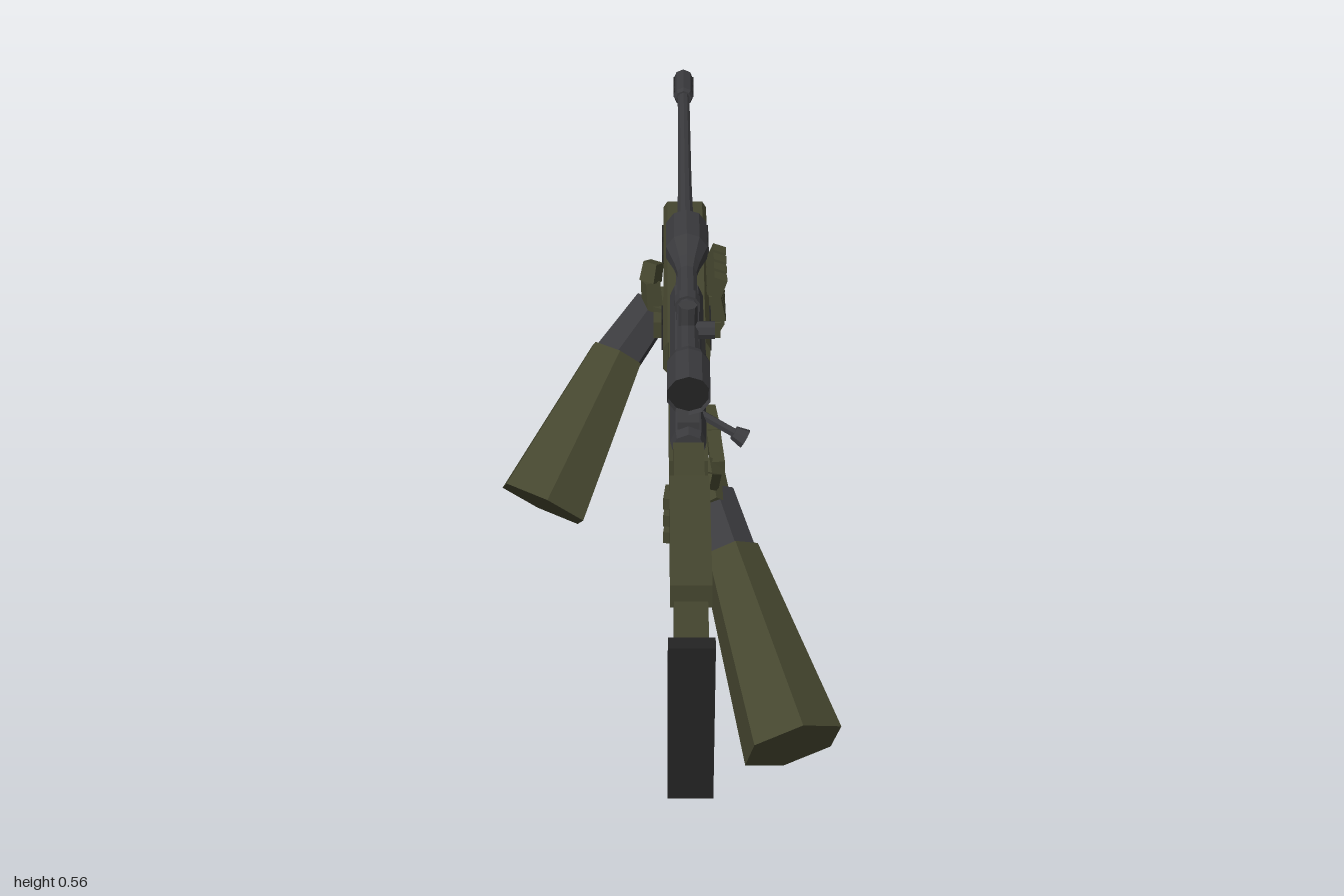
import * as THREE from 'three';

const CX = 0.06; // the rifle's axis lies right of the middle plane
const V = (x, y, z) => new THREE.Vector3(x, y, z);

export function createModel() {
  const root = new THREE.Group();
  root.name = 'rifleHeldByArms';
  const mat = (name, color) => {
    const m = new THREE.MeshStandardMaterial({ color, flatShading: true });
    m.name = name;
    return m;
  };
  const olive = mat('olive', 0x45462f);
  const grey = mat('gunGrey', 0x3b3b3e);
  const black = mat('black', 0x232323);

  const add = (name, geo, m) => {
    const mesh = new THREE.Mesh(geo, m);
    mesh.name = name;
    root.add(mesh);
    return mesh;
  };
  // Box given by its limits
  const box = (name, m, x0, x1, y0, y1, z0, z1) => {
    const b = add(name, new THREE.BoxGeometry(x1 - x0, y1 - y0, z1 - z0), m);
    b.position.set((x0 + x1) / 2, (y0 + y1) / 2, (z0 + z1) / 2);
    return b;
  };
  // Side profile of [z, y] points, extruded across x
  const profile = (name, m, pts, width) => {
    const shape = new THREE.Shape(pts.map(p => new THREE.Vector2(p[0], p[1])));
    const g = new THREE.ExtrudeGeometry(shape, { depth: width, bevelEnabled: false });
    g.translate(0, 0, -width / 2).rotateY(-Math.PI / 2).translate(CX, 0, 0);
    return add(name, g, m);
  };
  // Turned part along z from [radius, z] points running forwards (towards -z)
  const turned = (name, m, y, pts, sides = 12) => {
    const g = new THREE.LatheGeometry(pts.map(p => new THREE.Vector2(p[0], -p[1])), sides);
    g.rotateX(-Math.PI / 2).translate(CX, y, 0);
    return add(name, g, m);
  };
  // Tapered prism from a to b, with level width axis; w and h are half sizes at b
  const limb = (name, m, a, b, w, h, taper, sides = 6, start = 0) => {
    const d = b.clone().sub(a);
    const g = new THREE.CylinderGeometry(1, taper, d.length(), sides, 1, false, start);
    g.scale(w, 1, h);
    d.normalize();
    const up = Math.abs(d.y) > 0.99 ? V(0, 0, 1) : V(0, 1, 0);
    const side = up.cross(d).normalize();
    g.applyMatrix4(new THREE.Matrix4().makeBasis(side, d, side.clone().cross(d)));
    const c = a.clone().add(b).multiplyScalar(0.5);
    return add(name, g.translate(c.x, c.y, c.z), m);
  };
  // Chain of square finger segments
  const finger = (name, pts, r) => {
    for (let i = 1; i < pts.length; i++)
      limb(name, olive, pts[i - 1], pts[i], r, r, 1.1, 4, Math.PI / 4);
  };

  // Stock
  profile('stock', olive, [[0.98, 0.195], [0.98, 0.46], [0.44, 0.44], [0.44, 0.35],
    [0.59, 0.345], [0.92, 0.2]].reverse(), 0.05);
  box('cheekRest', olive, 0.029, 0.091, 0.445, 0.485, 0.6, 0.88);
  box('buttPad', black, 0.026, 0.094, 0.182, 0.466, 0.976, 1);

  // Chassis and receiver
  profile('chassis', olive, [[0.45, 0.35], [0.3, 0.35], [0.06, 0.345], [0.06, 0.41],
    [0.45, 0.41]], 0.064);
  turned('receiver', grey, 0.428, [[0, 0.44], [0.027, 0.44], [0.03, 0.42], [0.03, -0.055], [0, -0.055]], 8);
  box('topRail', grey, 0.042, 0.078, 0.452, 0.465, -0.05, 0.42);
  for (const z of [0.07, 0.19])
    box('ejectionPort', black, 0.085, 0.092, 0.418, 0.442, z, z + 0.1);
  limb('boltHandle', grey, V(0.08, 0.437, 0.35), V(0.145, 0.403, 0.365), 0.008, 0.008, 1, 6);
  limb('boltKnob', grey, V(0.136, 0.408, 0.363), V(0.155, 0.398, 0.367), 0.017, 0.017, 0.7, 8);

  // Handguard with chamfered edges
  const section = new THREE.Shape([[-0.03, 0.335], [0.03, 0.335], [0.042, 0.35], [0.042, 0.392],
    [0.034, 0.405], [-0.034, 0.405], [-0.042, 0.392], [-0.042, 0.35]].map(p => new THREE.Vector2(...p)));
  const guard = new THREE.ExtrudeGeometry(section, { depth: 0.535, bevelEnabled: false });
  add('handguard', guard.translate(CX, 0, -0.465), olive);
  for (const z of [0.01, -0.06, -0.3, -0.37])
    for (const s of [-1, 1]) {
      const x = CX + s * 0.042;
      box('handguardSlot', black, x - 0.003, x + 0.003, 0.367, 0.39, z - 0.025, z + 0.025);
    }
  box('lowerRail', olive, 0.04, 0.08, 0.325, 0.34, -0.44, -0.08);

  // Barrel and muzzle brake
  turned('barrel', grey, 0.428, [[0.021, -0.05], [0.018, -0.2], [0.014, -0.5], [0.013, -0.9]], 10);
  turned('muzzleBrake', grey, 0.428, [[0, -0.89], [0.017, -0.89], [0.021, -0.9], [0.021, -0.99],
    [0.017, -1], [0.008, -1], [0.008, -0.98], [0, -0.98]], 8);
  for (const z of [-0.92, -0.95, -0.975])
    box('muzzleVent', black, CX - 0.0215, CX + 0.0215, 0.421, 0.435, z - 0.009, z + 0.009);

  // Scope
  turned('scope', grey, 0.515, [[0, 0.405], [0.033, 0.405], [0.037, 0.418], [0.037, 0.33], [0.033, 0.315],
    [0.019, 0.305], [0.018, 0.02], [0.024, -0.01], [0.036, -0.05], [0.039, -0.06],
    [0.039, -0.15], [0.033, -0.15], [0.033, -0.14], [0, -0.14]], 10);
  turned('eyepieceLens', black, 0.515, [[0, 0.41], [0.034, 0.41], [0.034, 0.404]], 10);
  turned('objectiveLens', black, 0.515, [[0.032, -0.139], [0.032, -0.143], [0, -0.143]], 10);
  limb('topTurret', grey, V(CX, 0.52, 0.21), V(CX, 0.564, 0.21), 0.016, 0.016, 1, 8);
  limb('sideTurret', grey, V(CX, 0.515, 0.21), V(0.106, 0.515, 0.21), 0.016, 0.016, 1, 8);
  for (const z of [0.34, 0.122]) {
    box('scopeMount', grey, 0.045, 0.075, 0.46, 0.505, z - 0.016, z + 0.016);
    turned('scopeRing', grey, 0.515, [[0.018, z + 0.013], [0.023, z + 0.013], [0.023, z - 0.013], [0.018, z - 0.013]], 10);
  }

  // Magazine, trigger guard and grip
  box('magazine', grey, 0.034, 0.086, 0.245, 0.36, 0.175, 0.29);
  box('magazineBase', black, 0.031, 0.089, 0.243, 0.255, 0.172, 0.292);
  profile('triggerHousing', grey, [[0.385, 0.35], [0.36, 0.235], [0.29, 0.215], [0.275, 0.35]], 0.046);
  profile('pistolGrip', grey, [[0.44, 0.36], [0.46, 0.185], [0.4, 0.172], [0.36, 0.36]], 0.047);

  // Supporting arm and hand
  const lCuff = V(-0.07, 0.262, -0.12);
  limb('leftSleeve', olive, lCuff, V(-0.205, 0.06, 0.08), 0.093, 0.081, 0.6, 6, Math.PI / 2);
  limb('leftCuff', grey, V(0.0, 0.325, -0.19), V(-0.085, 0.24, -0.1), 0.05, 0.05, 0.85, 6, Math.PI / 2);
  box('leftPalm', olive, 0, 0.125, 0.305, 0.338, -0.245, -0.11);
  for (let i = 0; i < 4; i++) {
    const z = -0.127 - i * 0.035;
    finger('leftFinger', [V(0.105, 0.312, z), V(0.121, 0.338, z), V(0.111, 0.392, z), V(0.124, 0.428, z)], 0.018);
  }
  finger('leftThumb', [V(0.025, 0.328, -0.16), V(-0.002, 0.335, -0.165), V(-0.006, 0.39, -0.175),
    V(0, 0.425, -0.185)], 0.02);

  // Trigger arm and hand
  limb('rightSleeve', olive, V(0.13, 0.25, 0.49), V(0.225, 0.092, 0.782), 0.084, 0.083, 0.6);
  limb('rightCuff', grey, V(0.1, 0.295, 0.39), V(0.14, 0.235, 0.52), 0.045, 0.046, 0.9);
  limb('rightPalm', olive, V(0.094, 0.315, 0.34), V(0.105, 0.285, 0.42), 0.032, 0.045, 0.9, 6);
  for (let i = 0; i < 3; i++) {
    const y = 0.29 - i * 0.035;
    finger('rightFinger', [V(0.1, y + 0.01, 0.38), V(0.085, y, 0.345), V(0.035, y - 0.01, 0.35),
      V(0.03, y - 0.01, 0.39)], 0.016);
  }
  finger('triggerFinger', [V(0.11, 0.335, 0.36), V(0.105, 0.34, 0.27), V(0.098, 0.34, 0.19)], 0.016);
  finger('rightThumb', [V(0.1, 0.335, 0.4), V(0.085, 0.365, 0.44), V(0.04, 0.375, 0.445)], 0.018);

  return root;
}
